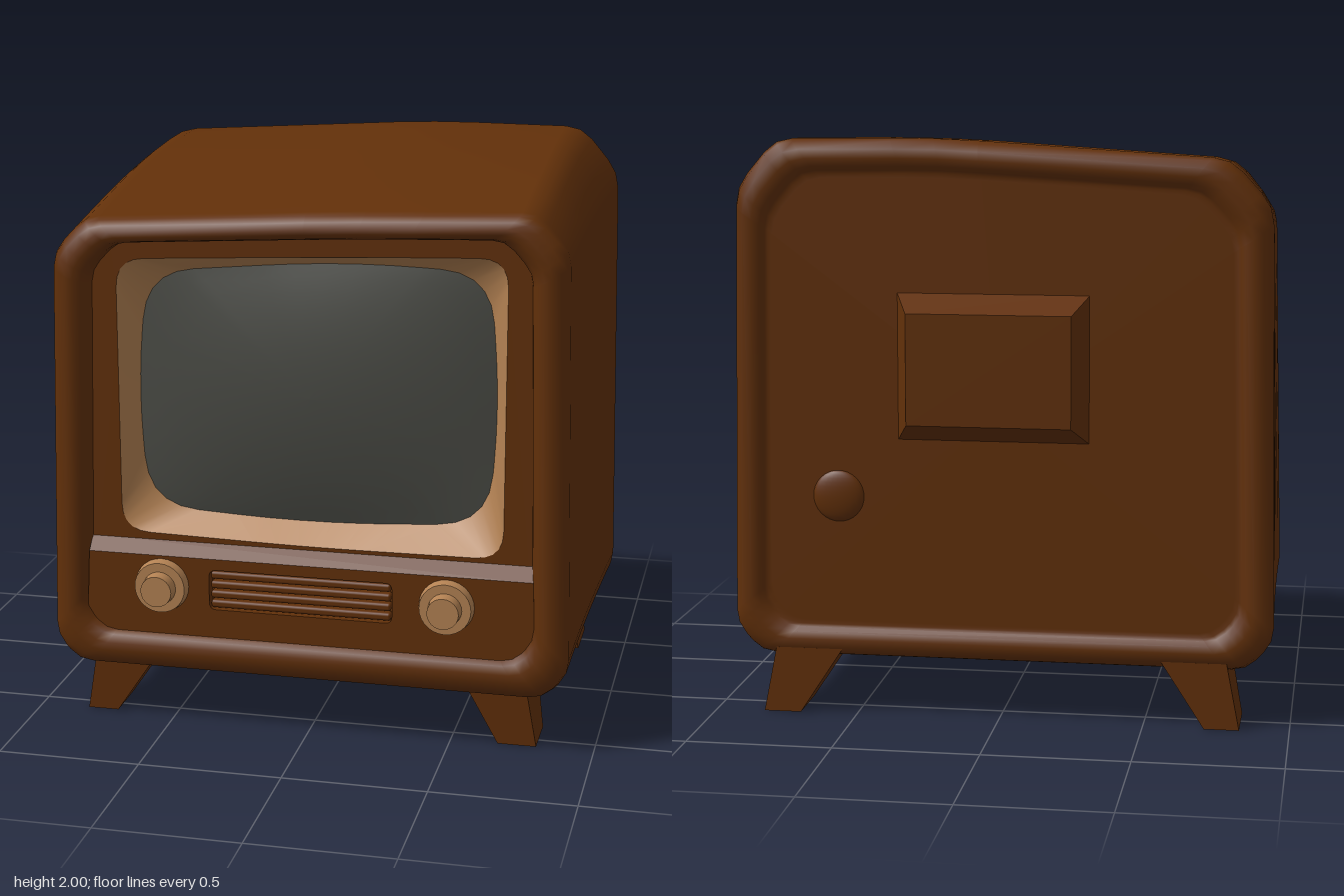
import * as THREE from 'three';
import { RoundedBoxGeometry } from 'three/addons/geometries/RoundedBoxGeometry.js';

const V2 = (x, y) => new THREE.Vector2(x, y);
const lerp = THREE.MathUtils.lerp;

// Closed counter-clockwise outline from corners [x, y, rounding arm]
function outline(corners, steps) {
  const pts = [];
  corners.forEach(([x, y, r], i) => {
    const n = corners.length;
    const c = V2(x, y);
    const toward = (k) => {
      const d = V2(corners[k][0], corners[k][1]).sub(c);
      return c.clone().add(d.setLength(r));
    };
    const curve = new THREE.QuadraticBezierCurve(toward((i + n - 1) % n), c, toward((i + 1) % n));
    pts.push(...curve.getPoints(steps));
  });
  return pts;
}

// Smooth skin through rings of Vector3 with equal counts
function loft(rings) {
  const n = rings[0].length;
  const pos = rings.flat().flatMap((p) => [p.x, p.y, p.z]);
  const index = [];
  for (let k = 0; k < rings.length - 1; k++) {
    for (let i = 0; i < n; i++) {
      const j = (i + 1) % n;
      const a = k * n + i, b = k * n + j, c = b + n, d = a + n;
      index.push(a, b, c, a, c, d);
    }
  }
  const g = new THREE.BufferGeometry();
  g.setAttribute('position', new THREE.Float32BufferAttribute(pos, 3));
  g.setIndex(index);
  g.computeVertexNormals();
  return g;
}

// Move every vertex by a rule and refresh the normals
function reshape(g, rule) {
  const p = g.attributes.position;
  for (let i = 0; i < p.count; i++) p.setXYZ(i, ...rule(p.getX(i), p.getY(i), p.getZ(i)));
  g.computeVertexNormals();
  return g;
}

export function createModel() {
  const wood = new THREE.MeshStandardMaterial({ color: 0x623009 });
  wood.name = 'brown wood';
  const tan = new THREE.MeshStandardMaterial({ color: 0xb48253 });
  tan.name = 'tan trim';
  const glass = new THREE.MeshStandardMaterial({ color: 0x4a4b45 });
  glass.name = 'grey glass';

  const model = new THREE.Group();
  model.name = 'television';
  const add = (name, geometry, material, x = 0, y = 0, z = 0, parent = model) => {
    const m = new THREE.Mesh(geometry, material);
    m.name = name;
    m.position.set(x, y, z);
    parent.add(m);
    return m;
  };

  // Cabinet: slanted outline with chamfered corners, lower and narrower at the front
  const front = outline([[-0.92, 0.29, 0.05], [-0.84, 0.2, 0.05], [0.83, 0.2, 0.05], [0.91, 0.29, 0.05],
    [0.88, 1.75, 0.05], [0.77, 1.87, 0.05], [0.2, 1.85, 0.2], [-0.77, 1.795, 0.05], [-0.885, 1.68, 0.05]], 2);
  const back = outline([[-0.943, 0.3, 0.05], [-0.85, 0.2, 0.05], [0.85, 0.2, 0.05], [0.94, 0.3, 0.05],
    [0.912, 1.83, 0.06], [0.77, 1.995, 0.06], [0.22, 2.0, 0.15], [-0.775, 1.937, 0.06], [-0.92, 1.78, 0.06]], 2);
  const section = (z, inset) => {
    const t = THREE.MathUtils.clamp((0.65 - z) / 1.26, 0, 1);
    const s = 1 - inset / 0.9;
    const middle = lerp(1.22, 1.08, t);
    return front.map((f, i) => new THREE.Vector3(
      lerp(f.x, back[i].x, t * t) * s,
      middle + (lerp(f.y, back[i].y, Math.sin(t * Math.PI / 2)) - middle) * s, z));
  };
  const profile = [
    [-0.585, 0.9], [-0.585, 0.13], [-0.585, 0.115], [-0.59, 0.105], [-0.606, 0.09], [-0.614, 0.065],
    [-0.61, 0.035], [-0.592, 0.01], [-0.56, 0], [-0.4, 0], [-0.2, 0], [0, 0], [0.2, 0], [0.4, 0], [0.59, 0],
    [0.62, 0.006], [0.64, 0.025], [0.65, 0.055], [0.65, 0.08], [0.638, 0.105], [0.615, 0.12], [0.575, 0.128],
  ];
  add('cabinet', loft(profile.map(([z, i]) => section(z, i))), wood);

  // Recessed front panel with the screen opening
  const opening = outline([[-0.675, 0.69, 0.1], [0, 0.675, 0.2], [0.675, 0.68, 0.1], [0.675, 1.2, 0.2],
    [0.675, 1.72, 0.1], [0.1, 1.7, 0.2], [-0.675, 1.66, 0.1], [-0.675, 1.2, 0.2]], 5);
  const face = new THREE.Shape(section(0.575, 0.128).map((p) => V2(p.x, p.y)));
  face.holes.push(new THREE.Path(opening));
  add('frontPanel', new THREE.ShapeGeometry(face), wood, 0, 0, 0.575);

  // Screen surround and bulging glass
  const rim = outline([[-0.6, 0.765, 0.18], [0, 0.735, 0.28], [0.61, 0.775, 0.18], [0.64, 1.2, 0.2],
    [0.605, 1.65, 0.17], [0.1, 1.67, 0.28], [-0.59, 1.605, 0.17], [-0.63, 1.2, 0.2]], 5);
  const bulge = (x, y) => 0.49 + 0.07 * (1 - (x / 0.64) ** 2) * (1 - ((y - 1.2) / 0.47) ** 2);
  const glassRing = (s) => rim.map((p) => {
    const x = p.x * s, y = 1.2 + (p.y - 1.2) * s;
    return new THREE.Vector3(x, y, bulge(x, y));
  });
  const lip = opening.map((p) => new THREE.Vector3(p.x, p.y, 0.575));
  add('screenSurround', loft([lip, glassRing(1)]), tan);
  add('screen', loft([1, 0.9, 0.8, 0.7, 0.6, 0.5, 0.4, 0.3, 0.2, 0.1, 0].map(glassRing)), glass);

  // Raised control panel with a grille slot and a sloping top edge
  const plate = new THREE.Shape([V2(-0.8, 0.32), V2(0.8, 0.32), V2(0.785, 0.665), V2(-0.785, 0.665)]);
  plate.holes.push(new THREE.Path(outline([[-0.35, 0.435, 0.025], [0.3, 0.435, 0.025], [0.3, 0.58, 0.025], [-0.35, 0.58, 0.025]], 4)));
  const plateGeo = new THREE.ExtrudeGeometry(plate, { depth: 0.047, bevelEnabled: false });
  add('controlPanel', reshape(plateGeo, (x, y, z) => [x, y > 0.6 && z > 0.01 ? y - 0.045 : y, z]), wood, 0, 0, 0.573);
  for (let i = 0; i < 4; i++) {
    add('grilleSlat', new RoundedBoxGeometry(0.64, 0.028, 0.04, 2, 0.01), wood, -0.025, 0.455 + i * 0.035, 0.597);
  }

  // Control knobs
  for (const x of [-0.52, 0.49]) {
    const knob = new THREE.Group();
    knob.name = 'knob';
    knob.position.set(x, 0.513, 0);
    model.add(knob);
    const disc = new THREE.CylinderGeometry(0.09, 0.099, 0.05, 28).rotateX(Math.PI / 2);
    const grip = new THREE.CylinderGeometry(0.055, 0.06, 0.06, 24).rotateX(Math.PI / 2);
    add('knobDisc', disc, tan, 0, 0, 0.63, knob);
    add('knobGrip', grip, tan, 0, 0, 0.67, knob);
  }

  // Back cover with bevelled sides, and a round cap
  const cover = reshape(new THREE.BoxGeometry(2, 2, 2), (x, y, z) => z < 0
    ? [0.02 + x * 0.28, 1.23 + y * 0.19, -0.697]
    : [0.02 + x * 0.335, 1.225 + y * 0.26, -0.57]);
  add('backCover', cover, wood);
  add('backCap', new THREE.SphereGeometry(0.09, 24, 16), wood, 0.56, 0.77, -0.583).scale.z = 0.28;

  // Splayed tapering legs: x ranges [inner, outer] and z ranges [back, front] for foot and top
  const frontZ = { foot: [0.38, 0.56], top: [0.29, 0.57] };
  const backZ = { foot: [-0.612, -0.4], top: [-0.607, -0.355] };
  const legs = [
    { name: 'frontLeftLeg', side: 1, footX: [0.665, 0.8], topX: [0.54, 0.76], z: frontZ },
    { name: 'frontRightLeg', side: -1, footX: [0.715, 0.825], topX: [0.56, 0.785], z: frontZ },
    { name: 'backLeftLeg', side: 1, footX: [0.7, 0.83], topX: [0.55, 0.785], z: backZ },
    { name: 'backRightLeg', side: -1, footX: [0.71, 0.83], topX: [0.56, 0.785], z: backZ },
  ];
  for (const { name, side, footX, topX, z: zr } of legs) {
    const leg = reshape(new THREE.BoxGeometry(2, 2, 2), (x, y, z) => {
      const xs = y > 0 ? topX : footX;
      const zs = y > 0 ? zr.top : zr.foot;
      return [side * xs[x * side > 0 ? 1 : 0], y > 0 ? 0.23 : 0, zs[z > 0 ? 1 : 0]];
    });
    add(name, leg, wood);
  }
  return model;
}
